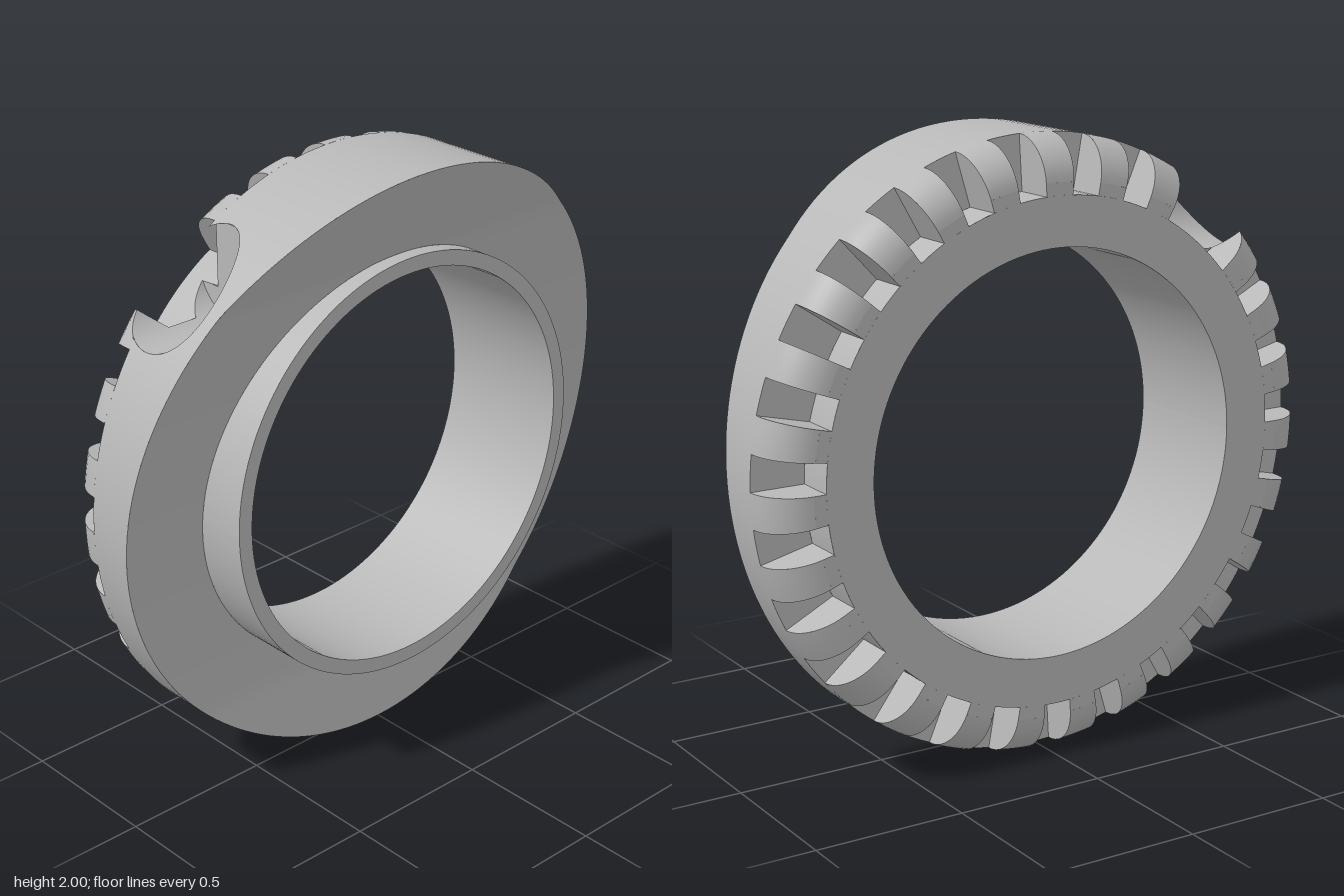
import * as THREE from 'three';
import { mergeGeometries } from 'three/addons/utils/BufferGeometryUtils.js';

const D = Math.PI / 180;
const BACK = -0.27, SHOULDER = -0.13, COLLAR_END = 0.2;
const BORE = 0.66, COLLAR = 0.71, FLOOR = 0.82, FILLET = 0.14;
const STEP = 360 / 54;                                 // one tooth or one gap, in degrees
const PX = -0.06, PY = 0.715, PR = 0.155, PZ = 0.495;  // round pocket, cut along z

// Point on the ring: x along the axle, r from it, a in degrees from the front upwards
const polar = (x, r, a) => [x, r * Math.sin(a * D), r * Math.cos(a * D)];
const lerp = (a, b, t) => a + (b - a) * t;

// Axial position of the sloping cam face at height y above the axle
function cam(y) {
  const c = (h) => 0.093 * (h + 0.55) ** 2;
  if (y > 0.7) return lerp(c(0.7), 0.27, (y - 0.7) / 0.3);
  if (y < -0.7) return lerp(c(-0.7), 0.05, (-0.7 - y) / 0.3);
  return c(y);
}

// Tooth radius at x (rounded rear edge) and its inverse
const toothR = (x) => 1 - FILLET + Math.sqrt(Math.max(0, FILLET ** 2 - (SHOULDER - x) ** 2));
const toothX = (r) => r <= 1 - FILLET ? BACK
  : SHOULDER - Math.sqrt(Math.max(0, FILLET ** 2 - (r - 1 + FILLET) ** 2));

// Half width of the pocket at height y, and the x where it stops the toothed zone
const halfChord = (y) => Math.sqrt(Math.max(0, PR ** 2 - (y - PY) ** 2));
const limit = (y, z) => z > PZ && Math.abs(y - PY) < PR
  ? Math.min(SHOULDER, PX - halfChord(y)) : SHOULDER;

// Grid surface from a rule f(u, v)
function sheet(nu, nv, f) {
  const pos = [], idx = [];
  for (let i = 0; i <= nu; i++) {
    for (let j = 0; j <= nv; j++) {
      const p = f(i / nu, j / nv);
      pos.push(p[0], p[1] + 1, p[2]);
      if (i < nu && j < nv) {
        const k = i * (nv + 1) + j, m = k + nv + 1;
        idx.push(k, m, k + 1, k + 1, m, m + 1);
      }
    }
  }
  const g = new THREE.BufferGeometry();
  g.setAttribute('position', new THREE.Float32BufferAttribute(pos, 3));
  g.setIndex(idx);
  g.computeVertexNormals();
  return g;
}

// Complete band of revolution between two (x, r) points
const band = (x0, r0, x1, r1) => sheet(144, 1, (u, v) =>
  polar(lerp(x0, x1, v), lerp(r0, r1, v), u * 360));

export function createModel() {
  const group = new THREE.Group();
  const metal = new THREE.MeshStandardMaterial({ color: 0xb8b8b8, side: THREE.DoubleSide });
  metal.name = 'grey metal';
  const add = (name, ...geos) => {
    const mesh = new THREE.Mesh(mergeGeometries(geos), metal);
    mesh.name = name;
    group.add(mesh);
  };

  // Bore, rear face and projecting collar
  add('bore', band(BACK, BORE, COLLAR_END, BORE));
  add('rearFace', band(BACK, BORE, BACK, FLOOR));
  add('collar',
    band(COLLAR_END, BORE, COLLAR_END, COLLAR),
    sheet(144, 1, (u, v) => {
      const p = polar(0, COLLAR, u * 360);
      p[0] = lerp(cam(p[1]), COLLAR_END, v);
      return p;
    }));

  // Sloping cam face
  add('camFace', sheet(180, 10, (u, v) => {
    const p = polar(0, lerp(COLLAR, 1, v), u * 360);
    p[0] = cam(p[1]);
    return p;
  }));

  // Outer rim, opened where the pocket breaks through
  const low = Math.asin(PY - PR) / D, high = Math.asin(PY + PR) / D;
  const pocketRow = (u) => PY - PR * Math.cos(Math.PI * u);
  const onRim = (x, y) => [x, y, Math.sqrt(1 - y * y)];
  add('rim',
    sheet(150, 1, (u, v) => {
      const p = polar(0, 1, lerp(high, low + 360, u));
      p[0] = lerp(SHOULDER, cam(p[1]), v);
      return p;
    }),
    sheet(48, 1, (u, v) => {
      const y = pocketRow(u);
      return onRim(lerp(SHOULDER, Math.max(SHOULDER, PX - halfChord(y)), v), y);
    }),
    sheet(48, 1, (u, v) => {
      const y = pocketRow(u);
      return onRim(lerp(PX + halfChord(y), cam(y), v), y);
    }));

  // Teeth and gaps round the rear edge; one tooth is missing beside the pocket
  const teeth = [], gaps = [];
  const toothSide = (a) => sheet(16, 1, (u, v) => {
    const r = lerp(FLOOR, 1, 1 - (1 - u) ** 2);
    const [, y, z] = polar(0, r, a);
    const x0 = toothX(r);
    return polar(lerp(x0, Math.max(x0, limit(y, z)), v), r, a);
  });
  const gapFloor = (a0, a1, n) => sheet(n, 1, (u, v) => {
    const p = polar(0, FLOOR, lerp(a0, a1, u));
    p[0] = lerp(BACK, limit(p[1], p[2]), v);
    return p;
  });
  const gapBack = (a0, a1, outer) => sheet(8, 1, (u, v) => {
    const a = lerp(a0, a1, u);
    return polar(SHOULDER, lerp(FLOOR, outer(a), v), a);
  });
  for (let k = 0; k < 27; k++) {
    const a0 = 2 * k * STEP, a1 = a0 + STEP, a2 = a1 + STEP;
    if (k !== 3) {
      teeth.push(
        sheet(8, 10, (u, v) => {
          const a = lerp(a1, a2, u);
          let end = SHOULDER;
          for (let i = 0; i < 4; i++) {
            const [, y, z] = polar(0, toothR(end), a);
            end = limit(y, z);
          }
          const x = lerp(BACK, end, 1 - Math.cos(v * Math.PI / 2));
          return polar(x, toothR(x), a);
        }),
        sheet(4, 1, (u, v) => polar(BACK, lerp(FLOOR, 1 - FILLET, v), lerp(a1, a2, u))),
        toothSide(a1), toothSide(a2));
    }
    if (k !== 3 && k !== 4) gaps.push(gapFloor(a0, a1, 4), gapBack(a0, a1, () => 1));
  }
  const cutLow = PY - Math.sqrt(PR ** 2 - (SHOULDER - PX) ** 2);
  gaps.push(
    gapFloor(6 * STEP, 9 * STEP, 60),
    gapBack(6 * STEP, Math.asin(cutLow / FLOOR) / D, (a) => cutLow / Math.sin(a * D)),
    gapBack(Math.acos(PZ / FLOOR) / D, 9 * STEP, (a) => PZ / Math.cos(a * D)));
  add('teeth', ...teeth);
  add('gaps', ...gaps);

  // Pocket: flat floor, main wall, and the wall pieces reaching into the toothed zone
  const edge = Math.acos((SHOULDER - PX) / PR) / D;
  const stepY = Math.sqrt(FLOOR ** 2 - PZ ** 2);
  const wall = (t0, t1, from, to) => sheet(48, 1, (u, v) => {
    const t = lerp(t0, t1, u) * D;
    const x = PX + PR * Math.cos(t), y = PY + PR * Math.sin(t);
    const z0 = from(x, y);
    return [x, y, lerp(z0, Math.max(z0, to(x, y)), v)];
  });
  const floorPart = (y0, y1, clip) => sheet(40, 1, (u, v) => {
    const y = lerp(y0, y1, (1 - Math.cos(Math.PI * u)) / 2), h = halfChord(y);
    return [lerp(Math.max(PX - h, clip), PX + h, v), y, PZ];
  });
  add('pocket',
    floorPart(PY - PR, stepY, -1),
    floorPart(stepY, PY + PR, SHOULDER),
    wall(-edge, edge, () => PZ, (x, y) => Math.sqrt(1 - y * y)),
    wall(-180, -edge, () => PZ, (x, y) => Math.sqrt(FLOOR ** 2 - y * y)),
    wall(-180, -edge, (x, y) => y / Math.tan(6 * STEP * D),
      (x, y) => Math.sqrt(toothR(x) ** 2 - y * y)));

  return group;
}
